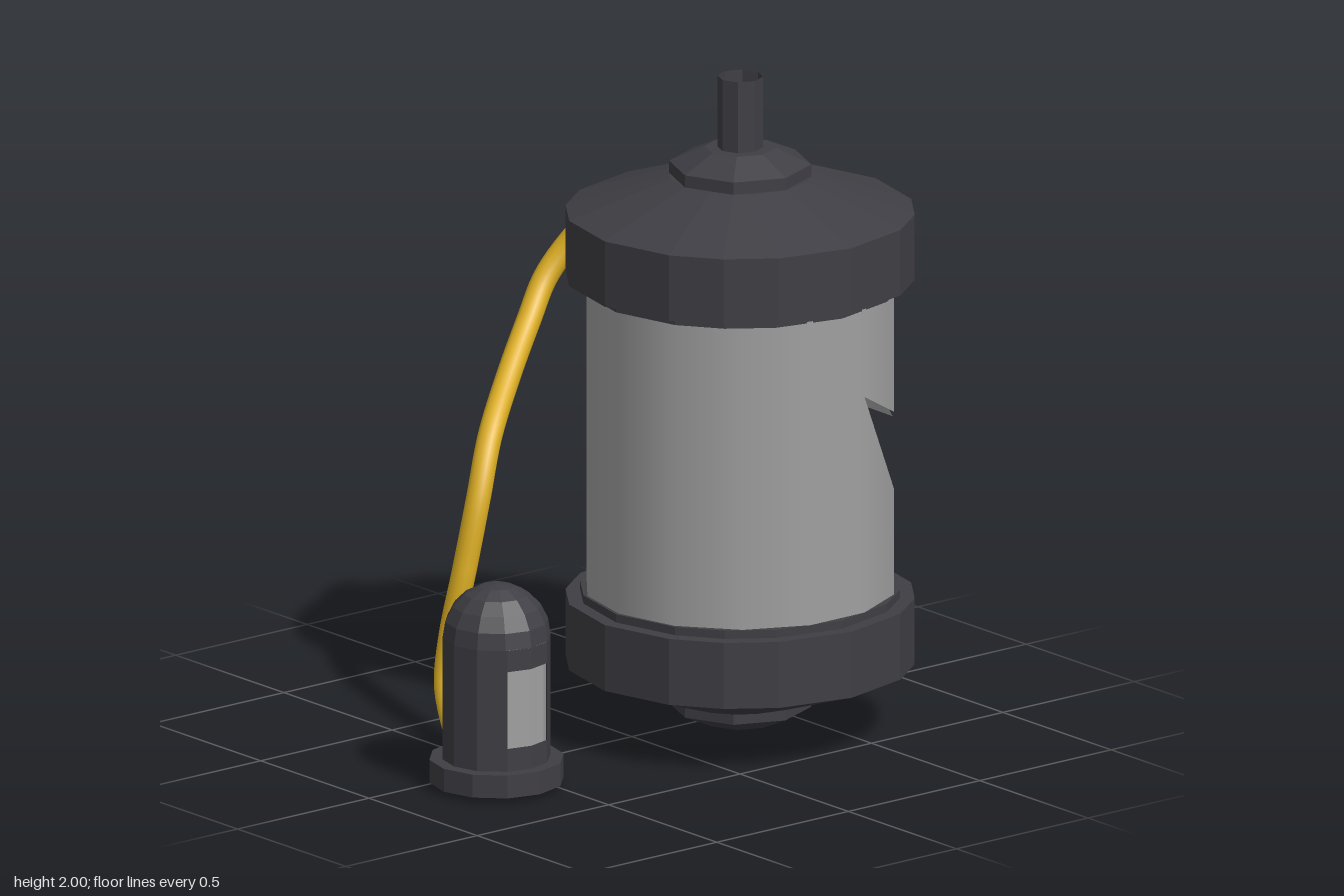
import * as THREE from 'three';

const mat = (name, color, side = THREE.FrontSide) => {
  const m = new THREE.MeshStandardMaterial({ color, side });
  m.name = name;
  return m;
};

// Flat-shaded turned part; profile runs upward as [radius, y].
// bias slides the in-between corners towards the diagonals.
function turned(profile, sides, bias = 0) {
  const pts = profile.map(([r, y]) => new THREE.Vector2(r, y));
  const geo = new THREE.LatheGeometry(pts, sides).toNonIndexed();
  const p = geo.attributes.position;
  for (let i = 0; i < p.count; i++) {
    const x = p.getX(i), z = p.getZ(i), r = Math.hypot(x, z);
    let a = Math.atan2(x, z);
    a += bias * Math.sin(4 * a);
    p.setX(i, r * Math.sin(a));
    p.setZ(i, r * Math.cos(a));
  }
  geo.computeVertexNormals();
  return geo;
}

// Wall of upright panels; each convex polygon lies within one panel,
// given as [column, y] points counter-clockwise from outside.
function panelWall(polygons, angles, radius, smooth) {
  const pos = [], nor = [], n = angles.length;
  const corner = i => {
    const a = THREE.MathUtils.degToRad(angles[i % n]);
    return new THREE.Vector3(Math.sin(a), 0, Math.cos(a));
  };
  const add = ([u, y]) => {
    const i = Math.floor(u);
    const d = corner(i).lerp(corner(i + 1), u - i);
    pos.push(d.x * radius, y, d.z * radius);
    d.normalize();
    nor.push(d.x, 0, d.z);
  };
  for (const poly of polygons)
    for (let k = 1; k < poly.length - 1; k++) [poly[0], poly[k], poly[k + 1]].forEach(add);
  const geo = new THREE.BufferGeometry();
  geo.setAttribute('position', new THREE.Float32BufferAttribute(pos, 3));
  geo.setAttribute('normal', new THREE.Float32BufferAttribute(nor, 3));
  if (!smooth) geo.computeVertexNormals();
  return geo;
}

const quad = (i, y0, y1) => [[i, y0], [i + 1, y0], [i + 1, y1], [i, y1]];

export function createModel() {
  const dark = mat('dark metal', 0x3f3e44, THREE.DoubleSide);
  const grey = mat('grey glass', 0xa0a0a0, THREE.DoubleSide);
  const yellow = mat('yellow rubber', 0xdcae22);

  const model = new THREE.Group();
  model.name = 'brokenTankWithLamp';
  const part = (parent, name, geo, material) => {
    const m = new THREE.Mesh(geo, material);
    m.name = name;
    parent.add(m);
    return m;
  };

  // Tank
  const tank = new THREE.Group();
  tank.name = 'tank';
  tank.position.set(0.305, 0, 0.13);
  model.add(tank);

  part(tank, 'bottomCap', turned([[0, 0.1], [0.21, 0.106], [0.515, 0.213], [0.515, 0.415],
    [0.472, 0.415], [0.472, 0.44], [0, 0.44]], 16, 0.072), dark);
  part(tank, 'topCap', turned([[0, 1.365], [0.472, 1.365], [0.472, 1.39], [0.515, 1.39],
    [0.515, 1.59], [0.21, 1.698], [0, 1.698]], 16, 0.072), dark);
  part(tank, 'bottomBoss', turned([[0, 0.027], [0.105, 0.027], [0.21, 0.074], [0.21, 0.11]], 8), dark);
  part(tank, 'topCollar', turned([[0.21, 1.69], [0.21, 1.735], [0.105, 1.783], [0, 1.783]], 8), dark);
  part(tank, 'topPipe', turned([[0.0675, 1.78], [0.0675, 2]], 8), dark);

  // Glass wall with a jagged hole in the first four panels
  const B = 0.44, T = 1.37;
  const glass = [
    [[0, 1.1], [1, 1.0], [1, T], [0, T]],
    [[0, B], [1, B], [1, 0.765], [0, 1.1]],
    [[1, 1.0], [2, 1.19], [2, T], [1, T]],
    [[1, B], [1.5, B], [1, 0.765]],
    [[1.5, B], [2, B], [2, 0.635]],
    [[2, 1.19], [3, 1.05], [3, T], [2, T]],
    [[2, 0.925], [3, 0.905], [3, 1.05]],
    [[2, B], [3, B], [3, 0.525], [2, 0.635]],
    [[3, 0.905], [4, 0.83], [4, T], [3, T]],
    [[3, B], [4, B], [4, 0.83], [3, 0.525]],
  ];
  for (let i = 4; i < 14; i++) glass.push(quad(i, B, T));
  const glassAngles = Array.from({ length: 14 }, (_, i) => (i + 0.5) * 360 / 14);
  part(tank, 'brokenGlass', panelWall(glass, glassAngles, 0.4615, true), grey);

  // Lamp
  const lamp = new THREE.Group();
  lamp.name = 'lamp';
  lamp.position.set(-0.622, 0, 0.13);
  model.add(lamp);

  part(lamp, 'lampBase', turned([[0.148, 0.02], [0.2, 0.02], [0.2, 0.09], [0.148, 0.09]], 12), dark);

  // Housing with a window across the two front panels
  const lampAngles = [-28, 0, 28];
  for (let a = 60; a <= 300; a += 30) lampAngles.push(a);
  const housing = [];
  for (let i = 0; i < 12; i++) {
    if (i < 2) housing.push(quad(i, 0.09, 0.16), quad(i, 0.395, 0.46));
    else housing.push(quad(i, 0.09, 0.46));
  }
  part(lamp, 'lampHousing', panelWall(housing, lampAngles, 0.161, false), dark);

  const dome = [];
  for (let k = 0; k <= 5; k++) {
    const a = k / 5 * Math.PI / 2;
    dome.push([k === 5 ? 0 : 0.161 * Math.cos(a), 0.46 + 0.161 * Math.sin(a)]);
  }
  part(lamp, 'lampDome', turned(dome, 12), dark);
  part(lamp, 'lampGlass', turned([[0.147, 0.025], [0.147, 0.45], [0, 0.45]], 12), grey);

  // Hose from the back of the top cap to the lamp base
  const path = [
    [0.305, 1.53, -0.34], [0.305, 1.505, -0.41], [0.297, 1.44, -0.51], [0.26, 1.35, -0.585],
    [0.18, 1.24, -0.615], [0.09, 1.13, -0.585], [-0.05, 1.0, -0.51], [-0.2, 0.86, -0.415],
    [-0.28, 0.71, -0.367], [-0.335, 0.5, -0.365], [-0.375, 0.3, -0.38], [-0.41, 0.16, -0.36],
    [-0.45, 0.07, -0.28], [-0.5, 0.042, -0.18], [-0.57, 0.052, -0.05], [-0.595, 0.06, -0.01],
  ].map(p => new THREE.Vector3(...p));
  part(model, 'hose', new THREE.TubeGeometry(new THREE.CatmullRomCurve3(path), 90, 0.037, 12), yellow);

  return model;
}
